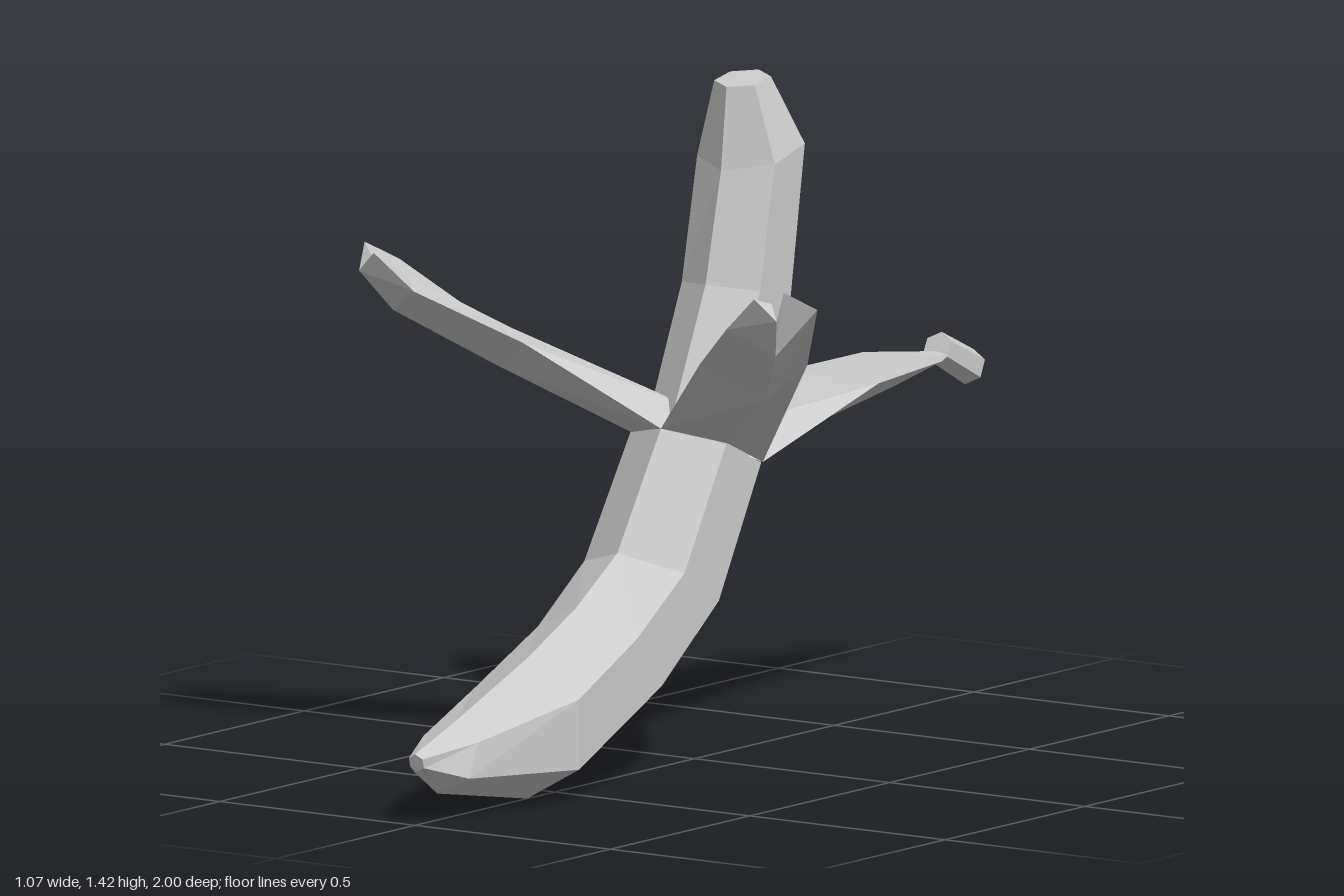
import * as THREE from 'three';

const material = new THREE.MeshStandardMaterial({ color: 0xcccccc, flatShading: true, side: THREE.DoubleSide });

// Skin a list of equal-sized closed rings and cap both ends, turned outward.
function loft(name, rings) {
  const tris = [];
  const n = rings[0].length;
  for (let i = 0; i + 1 < rings.length; i++) {
    const a = rings[i], b = rings[i + 1];
    for (let k = 0; k < n; k++) {
      const m = (k + 1) % n;
      tris.push([a[k], a[m], b[m]], [a[k], b[m], b[k]]);
    }
  }
  const first = rings[0], last = rings[rings.length - 1];
  for (let k = 1; k + 1 < n; k++) {
    tris.push([first[0], first[k + 1], first[k]], [last[0], last[k], last[k + 1]]);
  }
  const cross = new THREE.Vector3();
  let volume = 0;
  for (const [a, b, c] of tris) volume += a.dot(cross.crossVectors(b, c));
  const points = tris.flatMap(([a, b, c]) => (volume < 0 ? [a, c, b] : [a, b, c]));
  const geometry = new THREE.BufferGeometry().setFromPoints(points);
  geometry.computeVertexNormals();
  const mesh = new THREE.Mesh(geometry, material);
  mesh.name = name;
  return mesh;
}

// Hexagonal ring given its front and back corners on the centre plane (z, y).
function hexRing([zf, yf, zb, yb]) {
  const cz = (zf + zb) / 2, cy = (yf + yb) / 2;
  const hz = (zf - zb) / 2, hy = (yf - yb) / 2;
  const r = Math.hypot(hz, hy);
  return Array.from({ length: 6 }, (_, k) => {
    const a = (k * Math.PI) / 3;
    return new THREE.Vector3(r * Math.sin(a) * 1.03, cy + hy * Math.cos(a), cz + hz * Math.cos(a));
  });
}

const hexLoft = (name, sections) => loft(name, sections.map(hexRing));

// Peel strip: each section is inner ridge, one edge, outer ridge, other edge.
const peel = (name, sections, side = 1) =>
  loft(name, sections.map((s) => s.map(([x, y, z]) => new THREE.Vector3(x * side, y, z))));

export function createModel() {
  const group = new THREE.Group();

  // Unpeeled lower skin, from the rim to the blunt tip
  group.add(hexLoft('lowerSkin', [
    [0.12, 0.715, -0.13, 0.6],
    [0.276, 0.473, 0.03, 0.323],
    [0.426, 0.377, 0.25, 0.152],
    [0.598, 0.297, 0.598, 0],
    [0.855, 0.2, 0.92, 0.056],
    [1.0, 0.15, 0.99, 0.112],
  ]));

  // Bare fruit rising out of the rim
  group.add(hexLoft('fruit', [
    [0.095, 0.7, -0.105, 0.61],
    [-0.04, 0.997, -0.26, 0.95],
    [-0.095, 1.23, -0.31, 1.29],
    [-0.115, 1.404, -0.23, 1.425],
  ]));

  // Mirrored front peels
  const frontPeel = [
    [[0, 0.74, 0], [0, 0.715, 0.12], [0.125, 0.687, 0.055], [0.125, 0.63, -0.07]],
    [[0.308, 0.91, 0.22], [0.226, 0.898, 0.297], [0.34, 0.825, 0.22], [0.4, 0.895, 0.154]],
    [[0.467, 1.028, 0.376], [0.4, 1.01, 0.445], [0.49, 0.955, 0.394], [0.535, 1.046, 0.307]],
    [[0.513, 1.075, 0.44], [0.487, 1.086, 0.467], [0.535, 1.042, 0.453], [0.537, 1.1, 0.43]],
  ];
  group.add(peel('leftPeel', frontPeel), peel('rightPeel', frontPeel, -1));

  // Back peel, which carries the stem
  group.add(peel('backPeel', [
    [[0, 0.68, 0], [0.125, 0.63, -0.07], [0, 0.6, -0.13], [-0.125, 0.63, -0.07]],
    [[0, 0.74, -0.485], [0.125, 0.738, -0.485], [0, 0.655, -0.485], [-0.125, 0.738, -0.485]],
    [[0, 0.745, -0.745], [0.1, 0.745, -0.745], [0, 0.687, -0.715], [-0.1, 0.745, -0.745]],
    [[0, 0.74, -0.865], [0.033, 0.735, -0.865], [0, 0.717, -0.855], [-0.033, 0.735, -0.865]],
  ]));
  group.add(hexLoft('stem', [
    [-0.885, 0.778, -0.853, 0.717],
    [-1.0, 0.725, -0.968, 0.655],
  ]));

  return group;
}
